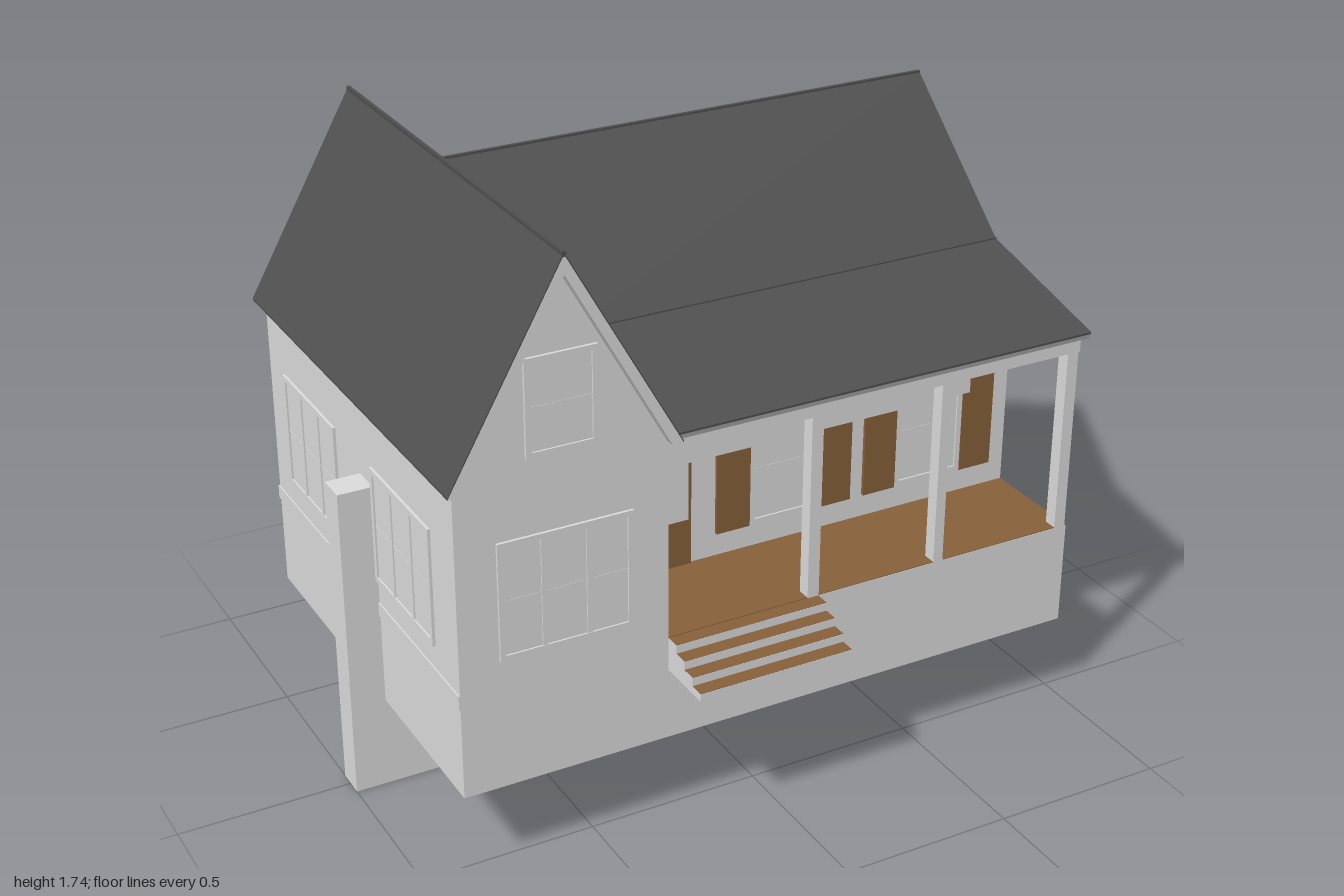
import * as THREE from 'three';

const mat = (name, color) => new THREE.MeshStandardMaterial({ name, color });

export function createModel() {
  const house = new THREE.Group();
  house.name = 'house';
  const wall = mat('pale grey', 0xdddddd);
  const slate = mat('dark grey', 0x505050);
  const wood = mat('brown', 0x87613a);
  const iron = mat('dark iron', 0x2a2420);

  const add = (name, geo, m, parent = house) => {
    const mesh = new THREE.Mesh(geo, m);
    mesh.name = name;
    parent.add(mesh);
    return mesh;
  };
  // box given by its limits on each axis
  const box = (name, m, [x0, x1], [y0, y1], [z0, z1], parent) => {
    const g = new THREE.BoxGeometry(x1 - x0, y1 - y0, z1 - z0);
    g.translate((x0 + x1) / 2, (y0 + y1) / 2, (z0 + z1) / 2);
    return add(name, g, m, parent);
  };
  const extrude = (pts, depth) => new THREE.ExtrudeGeometry(
    new THREE.Shape(pts.map(p => new THREE.Vector2(...p))), { depth, bevelEnabled: false });
  // [x, y] outline run along z, and [z, y] outline run along x
  const alongZ = (pts, z0, z1) => extrude(pts, z1 - z0).translate(0, 0, z0);
  const alongX = (pts, x0, x1) =>
    extrude(pts.map(([z, y]) => [-z, y]), x1 - x0).rotateY(Math.PI / 2).translate(x0, 0, 0);
  // closed strip between an upper and a lower line
  const strip = (upper, lower) => [...upper, ...[...lower].reverse()];
  const lowered = (line, d) => line.map(([u, y]) => [u, y - d]);

  // foundation: hollow underneath, with a notch in the right end
  const R = 0.975;
  box('foundationFront', wall, [-0.9, R], [0.27, 0.578], [0.555, 0.57]);
  box('foundationBack', wall, [-0.9, R], [0.27, 0.58], [-0.71, -0.7]);
  box('foundationLeft', wall, [-0.9, -0.89], [0.27, 0.58], [-0.705, 0.56]);
  add('foundationRight', alongX([[0.57, 0.27], [0.25, 0.27], [0.15, 0.34], [-0.62, 0.34],
    [-0.71, 0.27], [-0.71, 0.578], [0.57, 0.578]], R - 0.01, R), wall);
  box('floor', wall, [-0.895, R - 0.005], [0.46, 0.577], [-0.705, 0.56]);
  box('ledgeBack', wall, [-0.904, R + 0.004], [0.54, 0.58], [-0.714, -0.7]);
  box('ledgeLeft', wall, [-0.904, -0.89], [0.54, 0.58], [-0.714, 0.57]);
  box('porchFloor', wood, [-0.305, R], [0.577, 0.58], [0.25, 0.569]);

  // central support wall, its bracket and the tall end post
  box('supportWall', wall, [-0.93, 0.855], [0, 0.47], [-0.042, 0.045]);
  box('supportBracket', wall, [-0.22, 0.075], [0.19, 0.47], [0.045, 0.082]);
  box('endPost', wall, [-1, -0.9], [0, 0.93], [-0.042, 0.045]);

  // wing and main body
  add('wingBody', alongZ([[-0.9, 0.575], [-0.305, 0.575], [-0.305, 1.17], [-0.602, 1.7],
    [-0.9, 1.17]], -0.71, 0.57), wall);
  add('mainBody', alongX([[-0.71, 0.575], [0.25, 0.575], [0.25, 1.235], [0.12, 1.265],
    [-0.305, 1.635], [-0.71, 1.17]], -0.32, R), wall);

  // wing roof
  const wingLine = [[-0.925, 1.168], [-0.602, 1.74], [-0.28, 1.168]];
  const wingUnder = [[-0.896, 1.158], [-0.602, 1.682], [-0.309, 1.158]];
  add('wingRoofSlab', alongZ(strip(lowered(wingLine, 0.006), wingUnder), -0.745, 0.605), wall);
  add('wingRoofCover', alongZ(strip(wingLine, lowered(wingLine, 0.006)), -0.745, 0.605), slate);
  box('wingRidgeCap', slate, [-0.607, -0.597], [1.728, 1.742], [-0.745, 0.605]);

  // main roof, its left end cut to follow the wing slope
  const mainLine = [[0.58, 1.177], [0.12, 1.287], [-0.305, 1.66], [-0.745, 1.16]];
  const mainUnder = [[0.572, 1.155], [0.11, 1.264], [-0.305, 1.622], [-0.745, 1.122]];
  const mainRoof = (name, pts, m) => {
    const g = alongX(pts, 0, 1);
    const p = g.attributes.position;
    for (let i = 0; i < p.count; i++) {
      if (p.getX(i) < 0.5) p.setX(i, -0.61 + (1.74 - p.getY(i)) * 0.56);
    }
    g.computeVertexNormals();
    add(name, g, m);
  };
  mainRoof('mainRoofSlab', strip(lowered(mainLine, 0.006), mainUnder), wall);
  mainRoof('mainRoofCover', strip(mainLine, lowered(mainLine, 0.006)), slate);
  box('mainRidgeCap', slate, [-0.555, 1], [1.65, 1.662], [-0.31, -0.3]);
  box('roofCreaseCap', slate, [-0.34, 1], [1.278, 1.29], [0.115, 0.124]);

  // porch: posts, front beam, ceiling, side infill, hanging beam
  for (const [x0, x1] of [[0.12, 0.155], [0.525, 0.555], [0.935, 0.97]]) {
    box('porchPost', wall, [x0, x1], [0.575, 1.13], [0.53, 0.57]);
  }
  box('porchBeam', wall, [-0.305, R], [1.12, 1.165], [0.53, 0.57]);
  box('porchCeiling', wall, [-0.305, 0.96], [1.121, 1.13], [0.245, 0.54]);
  add('porchGable', alongX([[0.57, 1.12], [0.24, 1.12], [0.24, 1.238], [0.57, 1.16]],
    0.935, R), wall);
  box('hangingBeam', wall, [-0.305, 0.76], [0.96, 1.015], [0.25, 0.37]);

  // front steps with wooden treads
  for (let i = 0; i < 4; i++) {
    const top = 0.503 + i * 0.025, z1 = 0.745 - i * 0.044;
    box('step', wall, [-0.305, 0.155], [0.48, top - 0.001], [0.56, z1]);
    box('tread', wood, [-0.304, 0.154], [top - 0.001, top], [0.56, z1 - 0.001]);
  }

  // window centred on its own origin, facing +z, optional shutters
  const win = (w, h, pos, turn, shutter = 0, columns = 2) => {
    const g = new THREE.Group();
    g.name = 'window';
    const W = w / 2, H = h / 2, f = 0.016;
    box('pane', wall, [-W, W], [-H, H], [-0.004, 0.003], g);
    for (const s of [-1, 1]) {
      const x = s * (W - f / 2), y = s * (H - f / 2);
      box('frameSide', wall, [x - f / 2, x + f / 2], [-H, H], [0, 0.008], g);
      box('frameRail', wall, [-W, W], [y - f / 2, y + f / 2], [0, 0.008], g);
      if (shutter) {
        const c = s * (W + shutter / 2);
        box('shutter', wood, [c - shutter / 2, c + shutter / 2], [-H, H], [-0.004, 0.01], g);
      }
    }
    for (let i = 1; i < columns; i++) {
      const x = -W + w * i / columns;
      box('mullion', wall, [x - 0.007, x + 0.007], [-H, H], [0, 0.007], g);
    }
    box('meetingRail', wall, [-W, W], [-0.003, 0.003], [0, 0.004], g);
    g.position.set(...pos);
    g.rotation.y = turn;
    house.add(g);
  };
  const Y = 0.82, H = 0.34, back = Math.PI, side = Math.PI / 2;
  win(0.38, H, [-0.598, Y, 0.57], 0, 0, 3);
  win(0.2, 0.27, [-0.602, 1.338, 0.57], 0, 0, 1);
  win(0.2, 0.27, [-0.602, 1.338, -0.71], back, 0, 1);
  for (const x of [0.23, 0.706]) win(0.222, H, [x, Y, 0.25], 0, 0.105, 1);
  for (const [x, n] of [[0.66, 1], [0.025, 2], [-0.596, 1]]) {
    win(0.215, H, [x, Y, -0.71], back, 0.108, n);
  }
  for (const z of [-0.023, -0.44]) win(0.375, H, [R, Y, z], side);
  for (const z of [-0.4, 0.235]) win(0.38, H, [-0.9, Y, z], -side, 0, 3);

  // front door with a light upper panel and a handle
  box('door', wood, [-0.235, -0.065], [0.58, 0.965], [0.245, 0.257]);
  box('doorPanel', wall, [-0.224, -0.075], [0.72, 0.953], [0.257, 0.259]);
  box('doorHandle', iron, [-0.237, -0.225], [0.69, 0.755], [0.255, 0.266]);

  return house;
}
